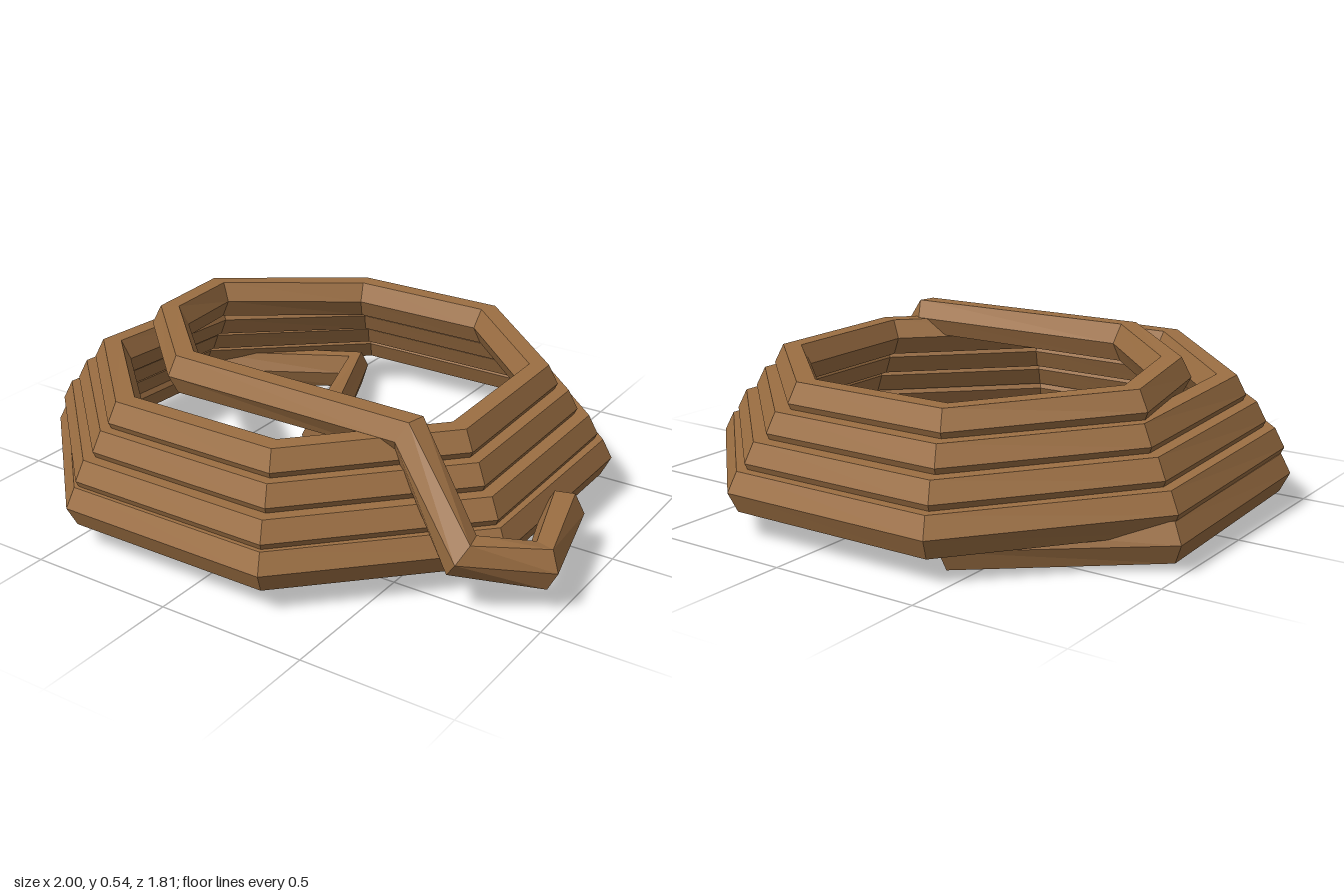
import * as THREE from 'three';

const SIDES = 6;
const CX = -0.09; // centre of the coil in x
const T = Math.tan(Math.PI / 8);

// Path of the rope: loose tail, four octagonal turns, crossing loose end
function ropePath() {
  const front = [0.845, 0.81, 0.75, 0.695]; // apothem at the front of each turn
  const back = [0.845, 0.79, 0.72, 0.65];   // apothem at the back of each turn
  const height = [0.155, 0.24, 0.325, 0.41];
  const path = [[-0.105, 0.15, 0.02], [-0.43, 0.07, -0.7], [-0.94, 0.098, -0.35], [-0.94, 0.127, 0.35]];
  for (let k = 0; k < 4; k++) {
    const f = front[k], b = back[k], y = height[k];
    const r1 = f + (b - f) / 3, r2 = f + (b - f) * 2 / 3;
    path.push(
      [CX - f * T, y, f], [CX + f * T, y, f],
      [CX + r1, y, r1 * T], [CX + r2, y, -r2 * T],
      [CX + b * T, y, -b], [CX - b * T, y, -b]);
    if (k === 3) break;
    // The rope climbs to the next turn along the left side
    const l = (b + front[k + 1]) / 2, dy = (height[k + 1] - y) / 3;
    path.push([CX - l, y + dy, -l * T], [CX - l, y + 2 * dy, l * T]);
  }
  path.push(
    [-0.76, 0.445, -0.26], [-0.7, 0.465, 0.09], [-0.355, 0.478, 0.425], [0.5, 0.475, 0.425],
    [0.755, 0.205, 0.545], [0.94, 0.155, 0.39], [0.845, 0.155, 0.05]);
  return path.map(p => new THREE.Vector3(...p));
}

// Sweep a flat-topped hexagon along the path, with caps on both ends
function sweep(path, halfWidth, halfHeight) {
  const up = new THREE.Vector3(0, 1, 0);
  const last = path.length - 1;
  const dir = i => path[i + 1].clone().sub(path[i]).normalize();
  const rings = path.map((p, i) => {
    const t = dir(Math.min(i, last - 1)).add(dir(Math.max(i - 1, 0))).normalize();
    const side = t.clone().cross(up).normalize();
    const top = side.clone().cross(t);
    return Array.from({ length: SIDES }, (_, k) => {
      const a = k / SIDES * Math.PI * 2;
      return p.clone()
        .addScaledVector(side, Math.cos(a) * halfWidth)
        .addScaledVector(top, Math.sin(a) / Math.sin(Math.PI / 3) * halfHeight);
    });
  });
  const pos = [];
  const tri = (...v) => v.forEach(q => pos.push(q.x, q.y, q.z));
  for (let k = 0; k < SIDES; k++) {
    const n = (k + 1) % SIDES;
    for (let i = 0; i < last; i++) {
      const A = rings[i], B = rings[i + 1];
      tri(A[k], B[k], A[n]);
      tri(A[n], B[k], B[n]);
    }
    tri(path[0], rings[0][k], rings[0][n]);
    tri(path[last], rings[last][n], rings[last][k]);
  }
  const geo = new THREE.BufferGeometry();
  geo.setAttribute('position', new THREE.Float32BufferAttribute(pos, 3));
  geo.computeVertexNormals();
  return geo;
}

export function createModel() {
  const group = new THREE.Group();
  group.name = 'coiledRope';
  const material = new THREE.MeshStandardMaterial({ color: 0x9c6f43, flatShading: true });
  const rope = new THREE.Mesh(sweep(ropePath(), 0.065, 0.065), material);
  rope.name = 'rope';
  group.add(rope);
  return group;
}
